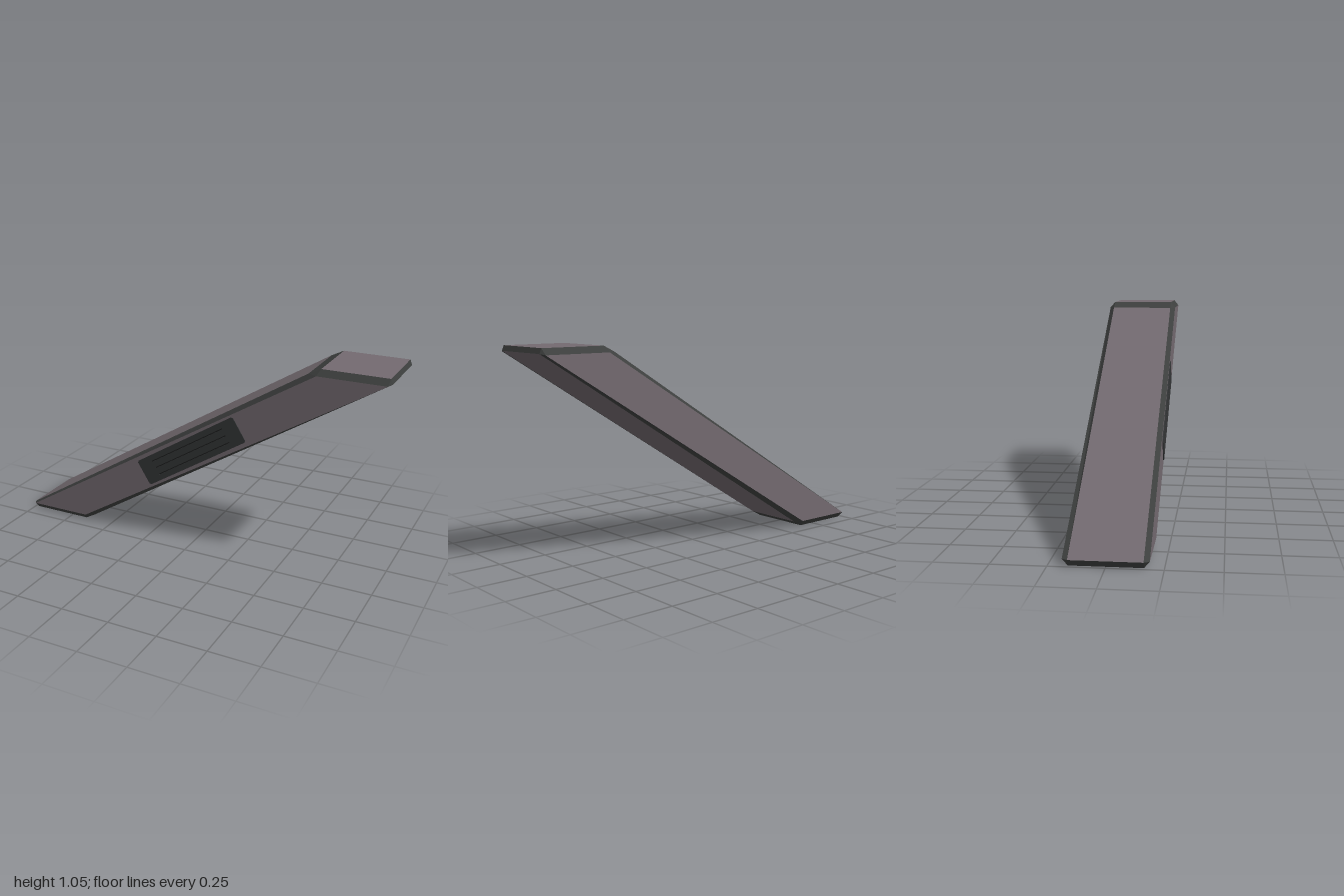
import * as THREE from 'three';

const PANEL = 0x736a70, TRIM = 0x3d3f3e, VENT = 0x343637, SLOT = 0x1c1d1d;
const RIM_Z = 0.163, FACE_Z = 0.188;

// Side outline: panel edges are 0-1, 2-3, 4-5, 6-7, corner chamfers lie between
const outline = [
  [-0.98, 0], [-0.66, 0], [-0.605, 0.03], [1, 1.025],
  [0.99, 1.05], [0.665, 1.05], [0.605, 1.02], [-1, 0.03],
];
// Flat side panel, one corner per chamfer of the outline
const inner = [[-0.65, 0.03], [0.985, 1.02], [0.65, 1.02], [-0.985, 0.03]];

const material = (color) => new THREE.MeshStandardMaterial({ color, flatShading: true });

// Mesh from a list of convex faces, each an anticlockwise loop of points
function facesMesh(name, faces, color) {
  const pos = [];
  for (const f of faces) {
    for (let i = 1; i < f.length - 1; i++) pos.push(...f[0], ...f[i], ...f[i + 1]);
  }
  const g = new THREE.BufferGeometry();
  g.setAttribute('position', new THREE.Float32BufferAttribute(pos, 3));
  g.computeVertexNormals();
  const mesh = new THREE.Mesh(g, material(color));
  mesh.name = name;
  return mesh;
}

const at = ([x, y], z) => [x, y, z];
const mirrorZ = (face) => face.map(([x, y, z]) => [x, y, -z]).reverse();

function beam() {
  const panels = [], trim = [];
  for (let i = 0; i < 8; i++) {
    const a = outline[i], b = outline[(i + 1) % 8];
    // Face running across the depth of the beam
    const across = [at(a, RIM_Z), at(a, -RIM_Z), at(b, -RIM_Z), at(b, RIM_Z)];
    (i % 2 === 0 ? panels : trim).push(across);
    // Sloping face between the rim and the side panel
    const k = Math.floor(i / 2);
    const slope = i % 2 === 0
      ? [at(a, RIM_Z), at(b, RIM_Z), at(inner[k], FACE_Z), at(inner[(k + 3) % 4], FACE_Z)]
      : [at(a, RIM_Z), at(b, RIM_Z), at(inner[k], FACE_Z)];
    trim.push(slope, mirrorZ(slope));
  }
  const side = inner.map((p) => at(p, FACE_Z));
  panels.push(side, mirrorZ(side));

  const group = new THREE.Group();
  group.name = 'beam';
  group.add(facesMesh('panels', panels, PANEL), facesMesh('chamferedTrim', trim, TRIM));
  return group;
}

// Rectangle with cut corners
function cutRect(target, w, h, c, cy = 0) {
  const x = w / 2, y = h / 2;
  target.setFromPoints([
    [-x + c, -y], [x - c, -y], [x, -y + c], [x, y - c],
    [x - c, y], [-x + c, y], [-x, y - c], [-x, -y + c],
  ].map(([px, py]) => new THREE.Vector2(px, py + cy)));
  return target;
}

function vent() {
  const group = new THREE.Group();
  group.name = 'vent';

  // Cover plate with three long slots
  const shape = cutRect(new THREE.Shape(), 0.635, 0.14, 0.008);
  for (const y of [-0.038, 0, 0.038]) {
    shape.holes.push(cutRect(new THREE.Path(), 0.47, 0.005, 0.001, y));
  }
  const plate = new THREE.Mesh(
    new THREE.ExtrudeGeometry(shape, { depth: 0.004, bevelEnabled: false }),
    material(VENT),
  );
  plate.name = 'ventPlate';

  // Dark floor seen through the slots
  const floor = new THREE.Mesh(new THREE.BoxGeometry(0.55, 0.11, 0.001), material(SLOT));
  floor.name = 'ventSlots';
  floor.position.z = 0.0005;

  group.add(plate, floor);
  group.position.set(0.003, 0.528, FACE_Z);
  group.rotation.z = THREE.MathUtils.degToRad(32);
  return group;
}

export function createModel() {
  const model = new THREE.Group();
  model.name = 'slantedBeam';
  model.add(beam(), vent());
  return model;
}
